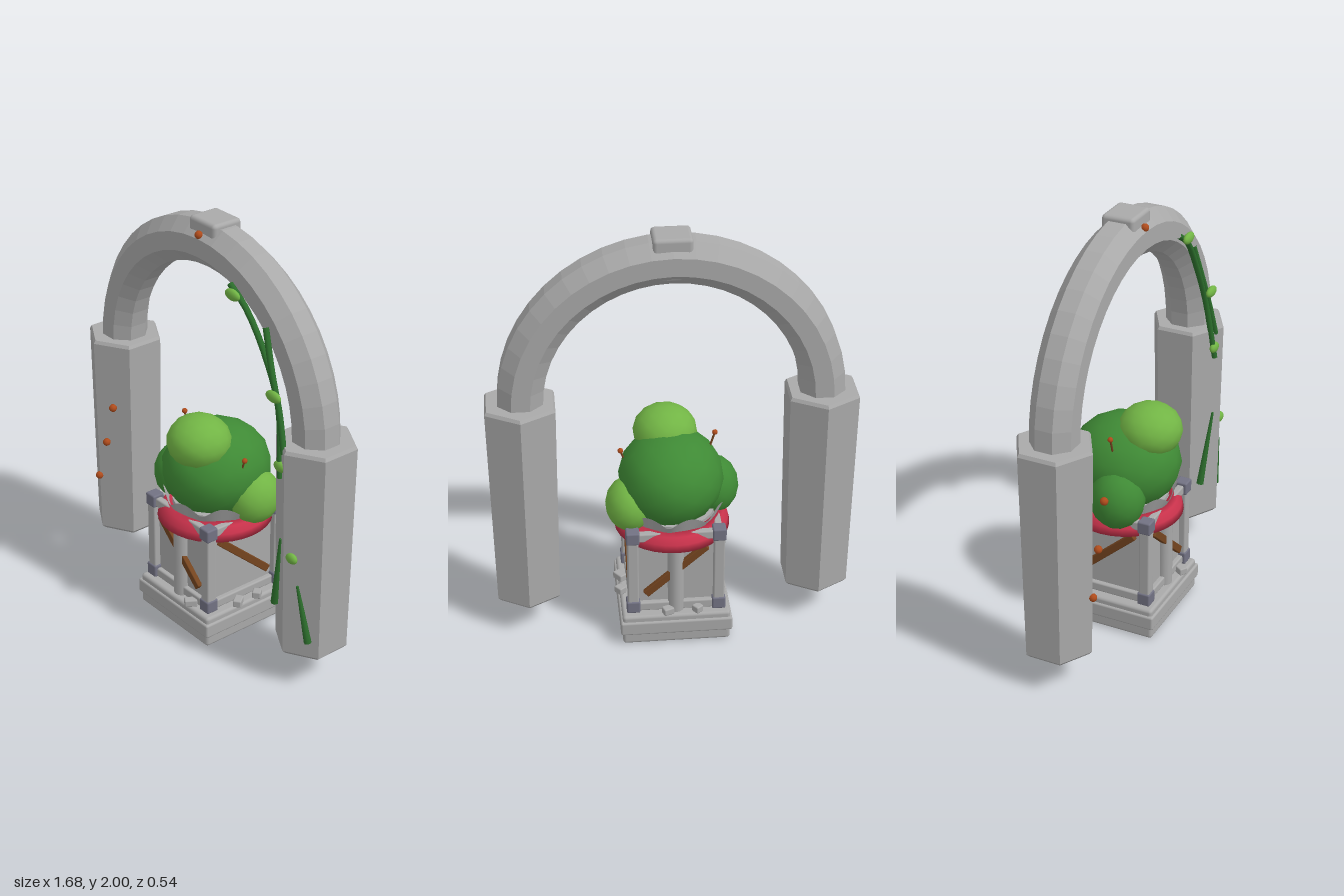
import * as THREE from 'three';
import { RoundedBoxGeometry } from 'three/addons/geometries/RoundedBoxGeometry.js';

const mat = (name, color) => {
  const m = new THREE.MeshStandardMaterial({ color });
  m.name = name;
  return m;
};

export function createModel() {
  const root = new THREE.Group();
  root.name = 'gardenArch';
  const stone = mat('stone', 0xa9a9a9);
  const metal = mat('cornerMetal', 0x727283);
  const darkLeaf = mat('darkLeaf', 0x3f8a35);
  const lightLeaf = mat('lightLeaf', 0x72b545);
  const vine = mat('vine', 0x2c6e2c);
  const red = mat('redTrim', 0xc8324b);
  const wood = mat('wood', 0x74441f);
  const berry = mat('berry', 0xb04c1c);
  const rim = mat('stoneSheet', 0xa9a9a9);
  rim.side = THREE.DoubleSide;

  const add = (name, geo, material, x = 0, y = 0, z = 0) => {
    const m = new THREE.Mesh(geo, material);
    m.name = name;
    m.position.set(x, y, z);
    root.add(m);
    return m;
  };
  const V = (x, y, z) => new THREE.Vector3(x, y, z);
  const flat = (g) => {
    const f = g.index ? g.toNonIndexed() : g;
    f.computeVertexNormals();
    return f;
  };
  const lathe = (pts, n, a = 0, len = Math.PI * 2) =>
    new THREE.LatheGeometry(pts.map((p) => new THREE.Vector2(...p)), n, a, len);
  const box = (name, material, w, h, d, x, y, z, r = 0.008) =>
    add(name, new RoundedBoxGeometry(w, h, d, 2, r), material, x, y, z);
  const blob = (name, material, r, p, detail = 2) =>
    add(name, new THREE.IcosahedronGeometry(1, detail).scale(...r), material, ...p);
  // straight tapered rod between two points
  const rod = (name, material, a, b, ra, rb = ra) => {
    const dir = b.clone().sub(a);
    const m = add(name, new THREE.CylinderGeometry(rb, ra, dir.length(), 7), material);
    m.position.copy(a).add(b).multiplyScalar(0.5);
    m.quaternion.setFromUnitVectors(V(0, 1, 0), dir.normalize());
  };

  // octagonal half ring
  const oct = [];
  for (let i = 0; i <= 8; i++) {
    const t = ((i + 0.5) * Math.PI) / 4;
    oct.push([0.68 + 0.11 * Math.cos(t), 0.108 * Math.sin(t)]);
  }
  add('arch', flat(lathe(oct, 24, 0, Math.PI).rotateX(Math.PI / 2).rotateZ(Math.PI / 2)), stone, 0, 1.2, 0);
  box('keystone', stone, 0.175, 0.2, 0.155, 0, 1.9, 0, 0.018);

  // tapered hexagonal pillars with chamfered ends
  for (const s of [-1, 1]) {
    const profile = [[0, 0.165], [0.15, 0.165], [0.168, 0.183], [0.182, 1.19], [0.172, 1.205], [0, 1.205]];
    add(s < 0 ? 'rightPillar' : 'leftPillar', flat(lathe(profile, 6)), stone, s * 0.683, 0, 0);
  }

  // plinth and planter box
  box('plinth', stone, 0.505, 0.155, 0.505, 0, 0.0775, 0, 0.015);
  box('plinthBand', stone, 0.525, 0.07, 0.525, 0, 0.09, 0, 0.01);
  box('planterBody', stone, 0.39, 0.42, 0.39, 0, 0.37, 0);
  for (const x of [-0.2, 0.2]) {
    for (const z of [-0.2, 0.2]) {
      box('cornerPost', stone, 0.052, 0.4, 0.052, x, 0.38, z);
      for (const y of [0.192, 0.577]) box('cornerBlock', metal, 0.063, 0.063, 0.063, x, y, z);
    }
  }
  for (const s of [-0.2, 0.2]) {
    for (const y of [0.185, 0.572]) {
      box('railAcross', stone, 0.36, 0.045, 0.035, 0, y, s);
      box('railAlong', stone, 0.035, 0.045, 0.36, s, y, 0);
    }
    // centre rib and diagonal braces
    add('rib', new THREE.CylinderGeometry(0.038, 0.038, 0.42, 12), stone, 0, 0.37, s);
    const front = box('brace', wood, 0.38, 0.036, 0.025, 0, 0.385, s * 1.05, 0.004);
    front.rotation.z = -0.73;
    const side = box('brace', wood, 0.025, 0.036, 0.38, s * 1.05, 0.385, 0, 0.004);
    side.rotation.x = -0.73;
  }
  // loose chips on the plinth
  for (const [x, z, w] of [[0.11, 0.235, 0.06], [0.245, 0.06, 0.06], [0.25, -0.05, 0.045],
    [0.04, -0.235, 0.05], [-0.1, -0.23, 0.04]])
    box('stoneChip', stone, w, 0.035, 0.04, x, 0.172, z, 0.006).rotation.y = x * 9;

  // red trim bulging through the sides, and the wavy stone rim above it
  add('redTrim', lathe([[0.18, 0.52], [0.27, 0.52], [0.262, 0.555], [0.24, 0.585], [0.205, 0.605], [0.18, 0.52]], 32), red);
  const wavy = new THREE.CylinderGeometry(0.24, 0.205, 0.09, 64, 1, true);
  const p = wavy.attributes.position;
  for (let i = 0; i < p.count; i++) {
    const a = Math.atan2(p.getX(i), p.getZ(i));
    if (p.getY(i) > 0) p.setY(i, 0.005 + 0.05 * Math.abs(Math.sin(a * 4 + 0.6)));
  }
  wavy.computeVertexNormals();
  add('wavyRim', wavy, rim, 0, 0.62, 0);
  add('planterTop', new THREE.CylinderGeometry(0.2, 0.2, 0.03, 24), stone, 0, 0.6, 0);

  // bush
  blob('bushMain', darkLeaf, [0.245, 0.225, 0.262], [0.005, 0.775, -0.003]);
  blob('bushTop', lightLeaf, [0.15, 0.125, 0.15], [0.022, 0.95, 0.112]);
  blob('bushRight', darkLeaf, [0.125, 0.145, 0.13], [-0.192, 0.68, 0.05]);
  blob('bushLeft', lightLeaf, [0.115, 0.13, 0.13], [0.2, 0.675, -0.07]);

  // berries on twigs, on the pillar and under the keystone
  for (const [x, y, z] of [[-0.2, 0.98, 0.02], [0.235, 0.905, 0.02]]) {
    rod('twig', wood, V(x * 0.8, y - 0.13, z), V(x, y, z), 0.005);
    blob('berry', berry, [0.013, 0.013, 0.013], [x, y, z], 1);
  }
  for (const [x, y, z] of [[-0.56, 0.895, 0.17], [-0.62, 0.685, 0.17], [-0.683, 0.475, 0.175], [0, 1.937, 0.09]])
    blob('berry', berry, [0.019, 0.019, 0.019], [x, y, z], 1);

  // climbing vines
  const climb = (pts, r) =>
    add('vine', new THREE.TubeGeometry(new THREE.CatmullRomCurve3(pts.map((q) => V(...q))), 14, r, 7), vine);
  climb([[0.26, 1.81, 0.13], [0.36, 1.74, 0.13], [0.48, 1.57, 0.125], [0.58, 1.36, 0.13], [0.635, 1.05, 0.16]], 0.014);
  climb([[0.47, 1.68, 0.11], [0.54, 1.49, 0.13], [0.6, 1.34, 0.14], [0.65, 1.17, 0.155]], 0.014);
  rod('vineShoot', vine, V(0.575, 0.37, 0.125), V(0.64, 0.745, 0.155), 0.018, 0.006);
  rod('vineShoot', vine, V(0.79, 0.265, 0.115), V(0.745, 0.55, 0.145), 0.018, 0.006);
  for (const [x, y, r] of [[0.31, 1.785, 0.046], [0.58, 1.415, 0.046], [0.632, 1.103, 0.038], [0.717, 0.685, 0.034]])
    blob('vineLeaf', lightLeaf, [r, 0.026, 0.018], [x, y, 0.158]);

  return root;
}
